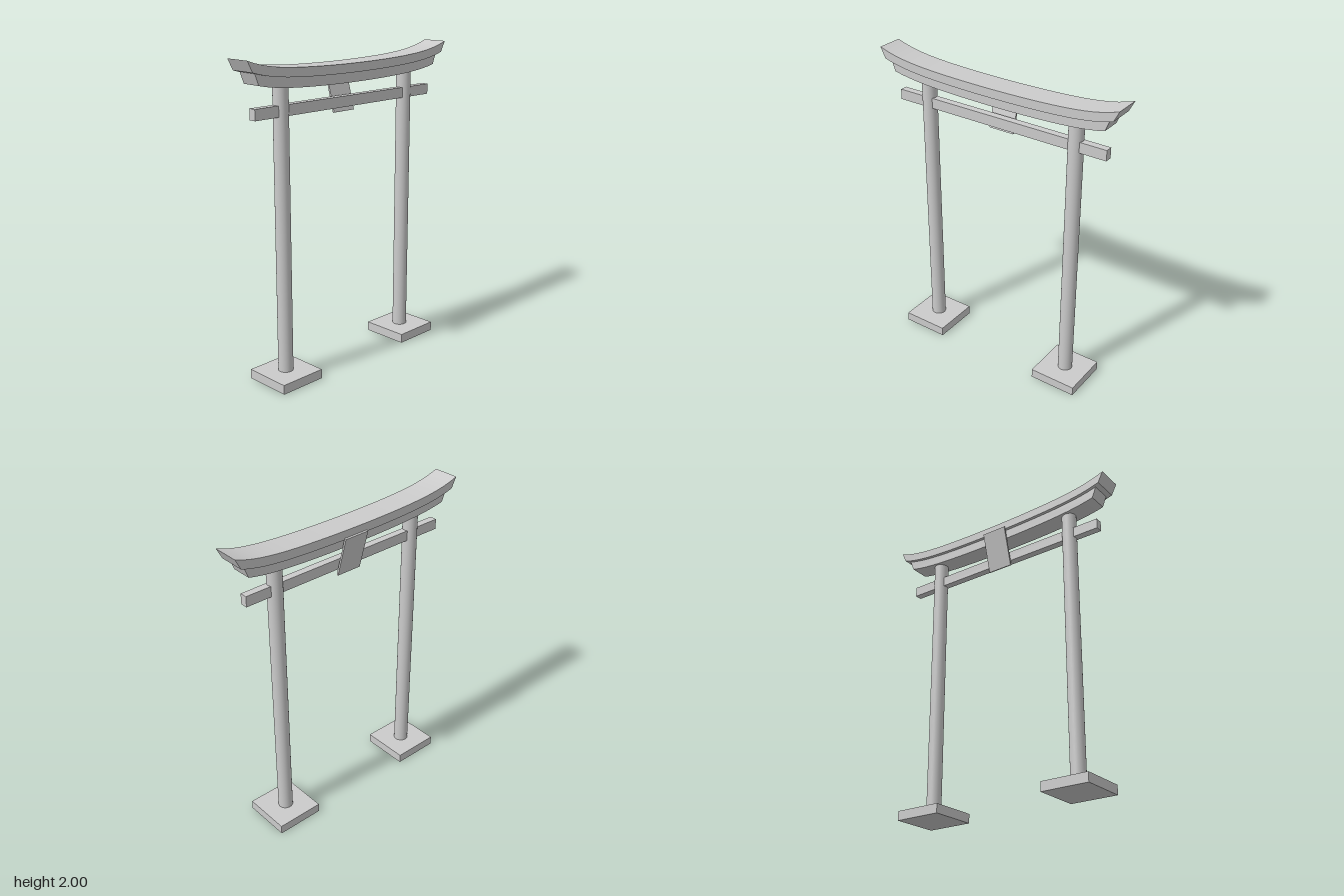
import * as THREE from 'three';
import { toCreasedNormals } from 'three/addons/utils/BufferGeometryUtils.js';

const grey = new THREE.MeshStandardMaterial({ color: 0xcccccc });

// Upward sweep of the lintels towards their ends
const rise = (z) => 0.05 * z ** 2 + 0.12 * z ** 6;

export function createModel() {
  const gate = new THREE.Group();
  gate.name = 'gate';

  const add = (name, geometry, x, y, z) => {
    const mesh = new THREE.Mesh(geometry, grey);
    mesh.name = name;
    mesh.position.set(x, y, z);
    gate.add(mesh);
    return mesh;
  };

  // Curved lintel: side outline with slanted ends, extruded across its width
  const lintel = (name, width, bottomY, bottomHalf, topY, topHalf) => {
    const steps = 32;
    const outline = [];
    for (let i = 0; i <= steps; i++) {
      const z = bottomHalf * (2 * i / steps - 1);
      outline.push(new THREE.Vector2(z, bottomY + rise(z)));
    }
    for (let i = 0; i <= steps; i++) {
      const z = topHalf * (1 - 2 * i / steps);
      outline.push(new THREE.Vector2(z, topY + rise(z)));
    }
    const geometry = new THREE.ExtrudeGeometry(new THREE.Shape(outline), { depth: width, bevelEnabled: false });
    geometry.translate(0, 0, -width / 2);
    geometry.rotateY(-Math.PI / 2);
    add(name, toCreasedNormals(geometry, 0.5), 0, 0, 0);
  };

  // Pillars on square plinths
  for (const side of [-1, 1]) {
    add('plinth', new THREE.BoxGeometry(0.314, 0.06, 0.312), 0, 0.03, side * 0.531);
    add('pillar', new THREE.CylinderGeometry(0.047, 0.047, 1.78, 32), -0.003, 0.94, side * 0.531);
  }

  // Straight tie beam passing through both pillars
  add('tieBeam', new THREE.BoxGeometry(0.048, 0.067, 1.49), 0, 1.686, 0);

  // Lower and upper curved lintels
  lintel('lowerLintel', 0.13, 1.805, 0.745, 1.867, 0.772);
  lintel('upperLintel', 0.172, 1.867, 0.803, 1.923, 0.838);

  // Leaning plaque in the middle of the span
  const plaque = add('plaque', new THREE.BoxGeometry(0.012, 0.27, 0.172), -0.06, 1.747, 0);
  plaque.rotation.z = 0.264;

  return gate;
}
